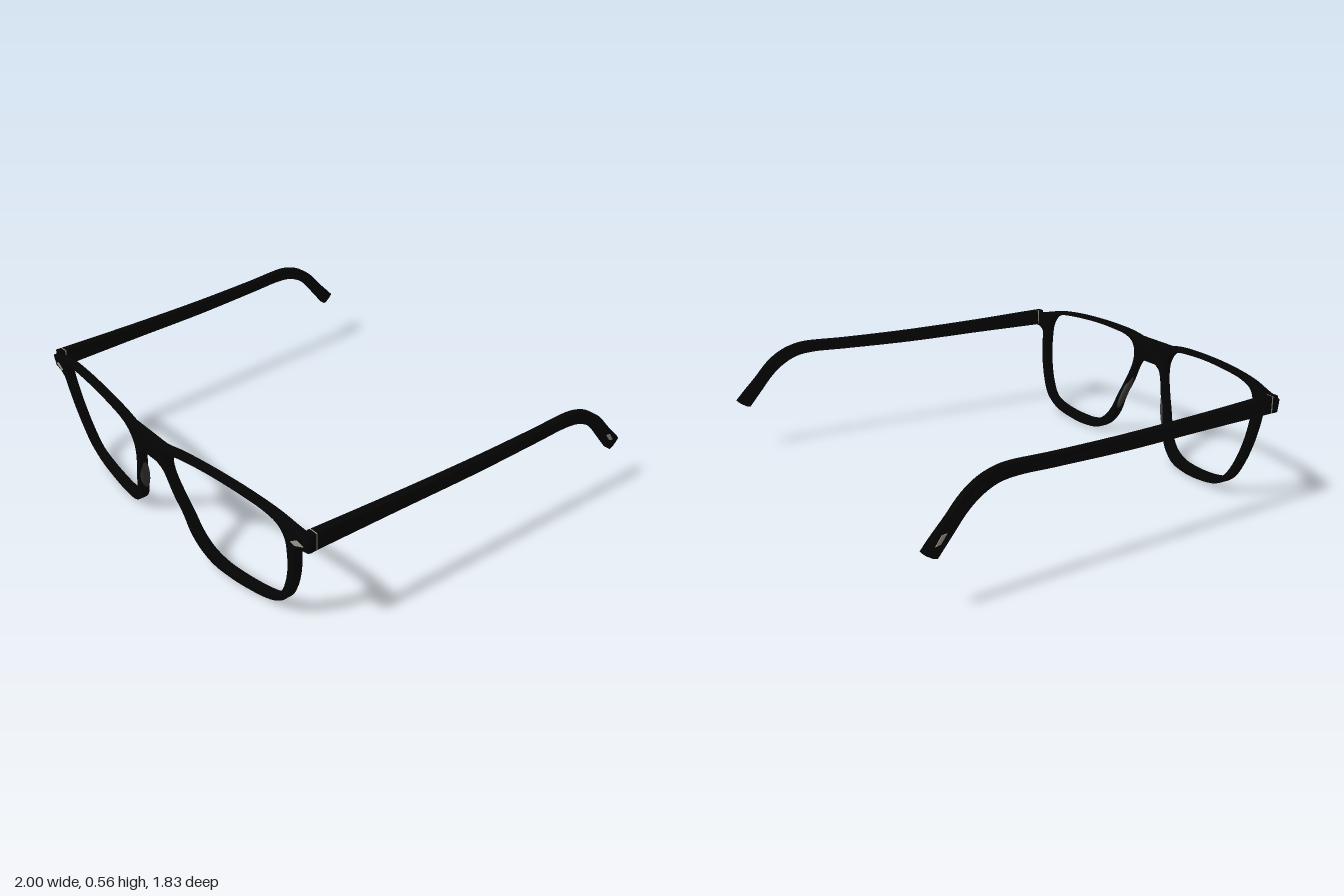
import * as THREE from 'three';
import { toCreasedNormals } from 'three/addons/utils/BufferGeometryUtils.js';

const material = (name, color) => new THREE.MeshStandardMaterial({ name, color });
const vec = (pts) => pts.map(([x, y]) => new THREE.Vector2(x, y));
const DEPTH = 0.044;

// Front surface of the frame: wraps back towards the temples and leans in at the bottom
const frontZ = (x, y) => 0.92 - 0.1 * Math.max(0, Math.abs(x) - 0.12) - 0.14 * (0.55 - y);

// Move every vertex of a geometry by a rule
function deform(geo, rule) {
  const p = geo.attributes.position;
  const v = new THREE.Vector3();
  for (let i = 0; i < p.count; i++) {
    rule(v.fromBufferAttribute(p, i));
    p.setXYZ(i, v.x, v.y, v.z);
  }
  return toCreasedNormals(geo, 0.7);
}

function extrude(shape, depth, bevel) {
  return new THREE.ExtrudeGeometry(shape, {
    depth: depth - 2 * bevel, bevelEnabled: bevel > 0, bevelSize: bevel,
    bevelThickness: bevel, bevelOffset: -bevel, bevelSegments: 3, curveSegments: 8,
  }).translate(0, 0, bevel - depth / 2);
}

// Smooth points through a few control points
const smooth = (pts, closed, n) => {
  const curve = new THREE.CatmullRomCurve3(pts.map(([x, y]) => new THREE.Vector3(x, y, 0)), closed, 'centripetal');
  const out = curve.getPoints(n).map((p) => [p.x, p.y]);
  if (closed) out.pop();
  return out;
};

function frameGeometry() {
  // Half outline, from the bridge top round to the bridge underside
  const top = smooth([[0.11, 0.535], [0.2, 0.55], [0.4, 0.56], [0.6, 0.556], [0.75, 0.54], [0.84, 0.518], [0.915, 0.502]], false, 24);
  const rim = smooth([[0.865, 0.438], [0.838, 0.418], [0.828, 0.36], [0.81, 0.27], [0.772, 0.165],
    [0.725, 0.088], [0.64, 0.035], [0.5, 0.008], [0.4, 0.004], [0.3, 0.018], [0.23, 0.065], [0.188, 0.13],
    [0.163, 0.22], [0.128, 0.3], [0.105, 0.37], [0.085, 0.41], [0.05, 0.432]], false, 70);
  const half = [...top, [0.915, 0.445], ...rim];
  const mirrored = half.map(([x, y]) => [-x, y]).reverse();
  // Counter-clockwise outline, so the openings are wound the other way
  const shape = new THREE.Shape(vec([...half, ...mirrored].reverse()));

  // Lens openings
  const hole = smooth([[0.2, 0.528], [0.3, 0.54], [0.42, 0.546], [0.6, 0.541], [0.7, 0.53], [0.765, 0.505],
    [0.793, 0.455], [0.793, 0.38], [0.778, 0.28], [0.735, 0.16], [0.68, 0.085], [0.6, 0.057], [0.45, 0.042],
    [0.35, 0.048], [0.275, 0.08], [0.225, 0.14], [0.192, 0.22], [0.152, 0.31], [0.122, 0.4], [0.122, 0.46],
    [0.15, 0.505]], true, 90);
  for (const s of [1, -1]) shape.holes.push(new THREE.Path(vec(hole.map(([x, y]) => [s * x, y]))));

  return deform(extrude(shape, DEPTH, 0.004), (v) => { v.z += frontZ(v.x, v.y) - DEPTH / 2; });
}

// Temple centre line and half thickness along z
const templeX = (z) => 0.899 + (0.79 - z) * 0.0502;
const templeHalf = (z) => 0.0185 - (0.79 - z) * 0.0018;

function templeGeometry(s) {
  const upper = smooth([[-0.785, 0.521], [-0.4, 0.509], [0, 0.503], [0.35, 0.507], [0.54, 0.513],
    [0.6, 0.506], [0.67, 0.483], [0.74, 0.437], [0.82, 0.352], [0.915, 0.257]], false, 50);
  const lower = smooth([[0.855, 0.222], [0.79, 0.3], [0.73, 0.37], [0.67, 0.418], [0.6, 0.45],
    [0.52, 0.46], [0.35, 0.455], [0, 0.446], [-0.4, 0.447], [-0.785, 0.446]], false, 50);
  const shape = new THREE.Shape(vec([...upper, [0.9, 0.243], [0.872, 0.226], ...lower]));
  const geo = extrude(shape, 2, 0).rotateY(Math.PI / 2);
  return deform(geo, (v) => {
    // Sides close in over the rounded tip
    const tip = THREE.MathUtils.clamp((-0.85 - v.z) / 0.065, 0, 1);
    v.x = s * templeX(v.z) + v.x * templeHalf(v.z) * (1 - 0.4 * tip * tip);
  });
}

export function createModel() {
  const black = material('black acetate', 0x040404);
  const grey = material('smoky nose pad', 0x3c3c3c);
  const metal = material('brushed metal', 0xa39e92);
  const model = new THREE.Group();
  const add = (name, geo, mat) => {
    const mesh = new THREE.Mesh(geo, mat);
    mesh.name = name;
    model.add(mesh);
    return mesh;
  };

  add('frontFrame', frameGeometry(), black);

  for (const s of [1, -1]) {
    const side = s > 0 ? 'left' : 'right';
    add(side + 'Temple', templeGeometry(s), black);

    // End block behind the frame corner, with a thin hinge plate against the temple
    add(side + 'EndBlock', new THREE.BoxGeometry(0.038, 0.075, 0.026), black)
      .position.set(s * 0.899, 0.4835, 0.803);
    add(side + 'Hinge', new THREE.BoxGeometry(0.0385, 0.074, 0.006), metal)
      .position.set(s * 0.899, 0.4835, 0.787);

    // Nose pad along the inner rim
    const pad = add(side + 'NosePad', new THREE.SphereGeometry(1, 20, 14), grey);
    pad.scale.set(0.015, 0.108, 0.023);
    pad.position.set(s * 0.155, 0.245, 0.848);
    pad.rotation.set(0.13, s * 0.3, s * 0.32);

    // Rivet plate on the end piece
    const plate = new THREE.Shape(vec([[0.828, 0.458], [0.85, 0.449], [0.895, 0.468], [0.862, 0.482]].map(([x, y]) => [s * x, y])));
    add(side + 'FrontRivet', deform(extrude(plate, 0.006, 0), (v) => { v.z += frontZ(v.x, v.y); }), metal);

    // Small rivet plate on the outside of the temple tip
    const mark = new THREE.Shape(vec([[0.815, 0.31], [0.838, 0.308], [0.864, 0.27], [0.842, 0.275]]));
    add(side + 'TipRivet', deform(extrude(mark, 0.004, 0).rotateY(Math.PI / 2), (v) => {
      v.x += s * (templeX(v.z) + templeHalf(v.z));
    }), metal);
  }
  return model;
}
